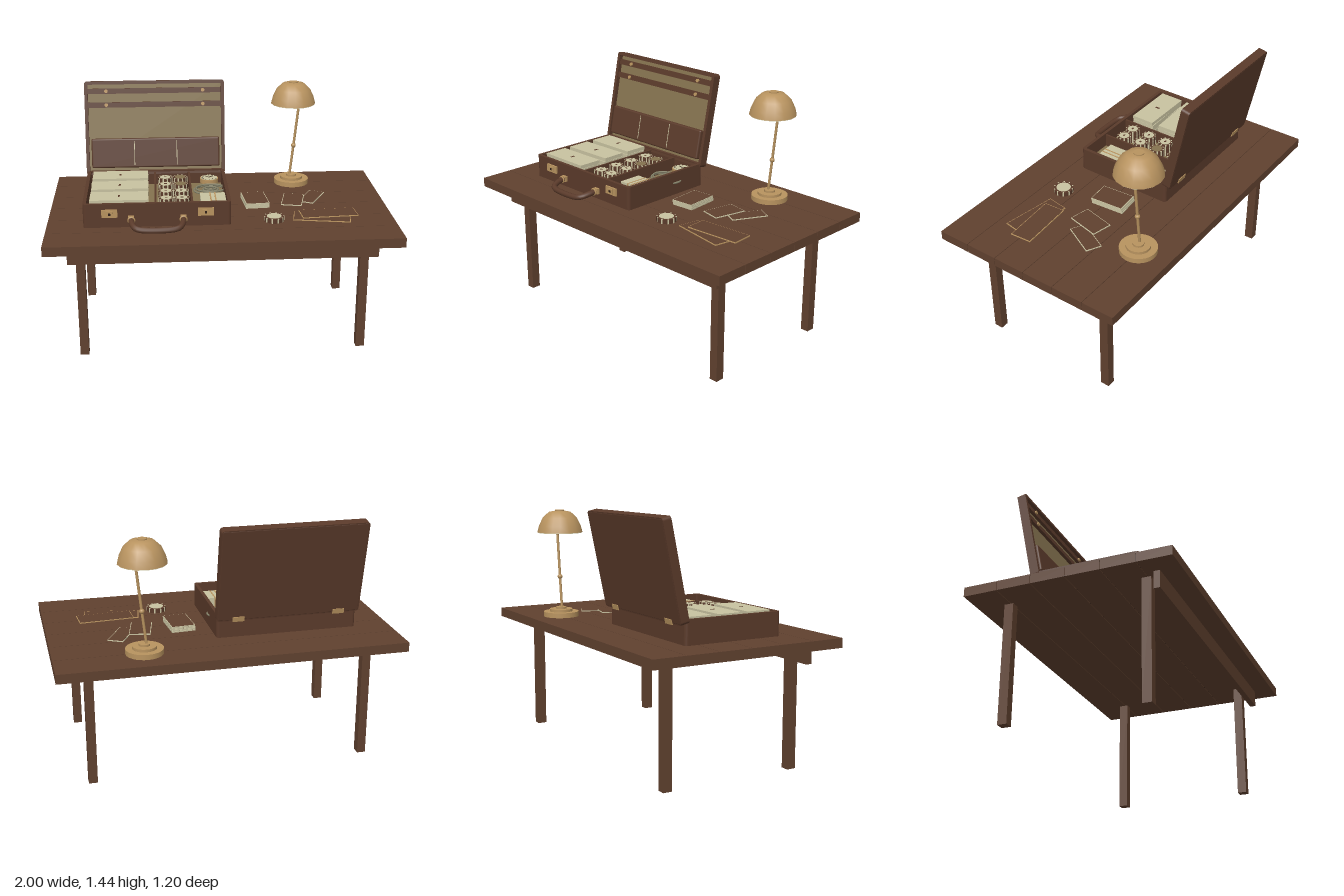
import * as THREE from 'three';
import { RoundedBoxGeometry } from 'three/addons/geometries/RoundedBoxGeometry.js';

const mat = (name, color, side = THREE.FrontSide) => {
  const m = new THREE.MeshStandardMaterial({ color, side });
  m.name = name;
  return m;
};

export function createModel() {
  const wood = mat('wood', 0x60412f);
  const leather = mat('leather', 0x5a3a2a);
  const dark = mat('dark trim', 0x2e1d14);
  const brass = mat('brass', 0xb8935f, THREE.DoubleSide);
  const cream = mat('cream paper', 0xc8c2a0, THREE.DoubleSide);
  const lining = mat('lining', 0x84724f);
  const steel = mat('tarnished metal', 0x87846b);

  const model = new THREE.Group();
  const group = (name, parent = model, x = 0, y = 0, z = 0) => {
    const g = new THREE.Group();
    g.name = name;
    g.position.set(x, y, z);
    parent.add(g);
    return g;
  };
  const add = (parent, name, geo, m, x = 0, y = 0, z = 0) => {
    const mesh = new THREE.Mesh(geo, m);
    mesh.name = name;
    mesh.position.set(x, y, z);
    parent.add(mesh);
    return mesh;
  };
  const box = (parent, name, m, w, h, d, x, y, z) =>
    add(parent, name, new THREE.BoxGeometry(w, h, d), m, x, y, z);
  const cyl = (parent, name, m, r, h, x, y, z, n = 24) =>
    add(parent, name, new THREE.CylinderGeometry(r, r, h, n), m, x, y, z);

  // Rectangle outline with rounded corners
  const roundRect = (P, w, h, r) => {
    const s = new P(), a = w / 2 - r, b = h / 2 - r;
    s.absarc(a, b, r, 0, Math.PI / 2);
    s.absarc(-a, b, r, Math.PI / 2, Math.PI);
    s.absarc(-a, -b, r, Math.PI, Math.PI * 1.5);
    s.absarc(a, -b, r, Math.PI * 1.5, Math.PI * 2);
    s.closePath();
    return s;
  };
  // Hollow frame, extruded along +z
  const frame = (w, h, depth, t) => {
    const s = roundRect(THREE.Shape, w, h, 0.018);
    s.holes.push(roundRect(THREE.Path, w - 2 * t, h - 2 * t, 0.006));
    return new THREE.ExtrudeGeometry(s, { depth, bevelEnabled: false, curveSegments: 4 });
  };

  // Table
  const table = group('table');
  for (let i = 0; i < 6; i++) {
    box(table, 'plank', wood, 2, 0.055, 0.197, 0, 0.7275, -0.5 + i * 0.2);
  }
  box(table, 'plankCore', dark, 1.99, 0.046, 1.19, 0, 0.7265, 0);
  for (const x of [-0.81, 0.81]) {
    for (const z of [0.393, -0.413]) box(table, 'leg', wood, 0.05, 0.705, 0.054, x, 0.3525, z);
  }
  box(table, 'frontApron', wood, 1.755, 0.1, 0.035, 0, 0.65, 0.467);

  // Case tray
  const tray = group('caseTray', model, -0.37, 0.757, 0.025);
  add(tray, 'trayWalls', frame(0.84, 0.61, 0.14, 0.02), leather).rotation.x = -Math.PI / 2;
  box(tray, 'trayBottom', leather, 0.81, 0.012, 0.58, 0, 0.006, 0);
  box(tray, 'trayLining', lining, 0.802, 0.04, 0.572, 0, 0.032, 0);
  for (const x of [-0.008, 0.2]) box(tray, 'divider', leather, 0.012, 0.12, 0.57, x, 0.07, 0);
  for (const x of [-0.27, 0.275]) {
    box(tray, 'latchPlate', brass, 0.09, 0.046, 0.012, x, 0.085, 0.309);
    box(tray, 'latchTongue', brass, 0.04, 0.03, 0.012, x, 0.085, 0.316);
    box(tray, 'latchSlot', dark, 0.012, 0.014, 0.004, x, 0.085, 0.3215);
  }

  // Carrying handle
  const handle = group('handle', tray);
  const grip = [[-0.148, 0.052, 0.325], [-0.143, 0.045, 0.37], [-0.125, 0.034, 0.412],
    [-0.09, 0.027, 0.427], [0.09, 0.027, 0.427], [0.125, 0.034, 0.412],
    [0.143, 0.045, 0.37], [0.148, 0.052, 0.325]].map(p => new THREE.Vector3(...p));
  add(handle, 'handleGrip',
    new THREE.TubeGeometry(new THREE.CatmullRomCurve3(grip), 32, 0.017, 10), leather);
  for (const s of [-1, 1]) {
    box(handle, 'handleMount', brass, 0.034, 0.034, 0.02, s * 0.148, 0.052, 0.312);
    add(handle, 'handleRing', new THREE.TorusGeometry(0.018, 0.005, 6, 16), brass, s * 0.147, 0.051, 0.335);
  }

  // Tilted lid: local y runs up the lid, local z points inward
  const lid = group('caseLid', model, -0.37, 0.865, -0.308);
  lid.rotation.x = -0.205;
  const L = 0.573;
  add(lid, 'lidWalls', frame(0.853, L, 0.052, 0.02), leather, 0, L / 2, 0);
  add(lid, 'lidBack', new RoundedBoxGeometry(0.845, L - 0.008, 0.02, 2, 0.006), leather, 0, L / 2, 0.009);
  box(lid, 'lidLining', lining, 0.815, L - 0.036, 0.008, 0, L / 2, 0.022);
  for (const y of [0.512, 0.428]) {
    box(lid, 'lidStrap', leather, 0.812, 0.032, 0.018, 0, y, 0.035);
    for (const x of [-0.295, 0.295]) {
      const stud = cyl(lid, 'strapStud', brass, 0.011, 0.01, x, y, 0.048, 12);
      stud.rotation.x = Math.PI / 2;
    }
  }
  add(lid, 'lidPocket', new RoundedBoxGeometry(0.785, 0.18, 0.034, 2, 0.01), leather, 0, 0.133, 0.043);
  for (const x of [-0.13, 0.13]) box(lid, 'pocketStitch', cream, 0.004, 0.15, 0.003, x, 0.133, 0.0605);
  for (const x of [-0.3, 0.3]) box(lid, 'hinge', brass, 0.07, 0.03, 0.006, x, 0.01, -0.002);

  // Paper bundles
  const bundles = group('paperBundles');
  [-0.17, 0.02, 0.212].forEach((z, i) => {
    for (let k = 0; k < 4; k++) {
      const sheet = box(bundles, 'paperBundle', cream, 0.332, 0.022, 0.148, -0.587, 0.822 + k * 0.0235, z);
      sheet.rotation.y = 0.022 * Math.sin(k * 2.1 + i * 1.7);
    }
    box(bundles, 'bundleSeal', leather, 0.012, 0.002, 0.028, -0.587, 0.9045 - 0.001, z);
  });

  // Gaming discs with notched rims
  const disc = (parent, x, y0, z, r, h, face) => {
    const g = group('disc', parent, x, y0, z);
    cyl(g, 'discBody', leather, r, h, 0, h / 2, 0);
    cyl(g, 'discFace', face, r * 0.74, 0.002, 0, h + 0.001, 0);
    for (let k = 0; k < 10; k++) {
      const a = k * Math.PI / 5;
      const notch = box(g, 'discNotch', cream, 0.007, h + 0.001, 0.009,
        Math.cos(a) * (r - 0.003), h / 2 + 0.0005, Math.sin(a) * (r - 0.003));
      notch.rotation.y = -a;
    }
    return g;
  };
  const discs = group('discStacks');
  [-0.155, -0.03, 0.092, 0.214].forEach((z, row) => {
    [-0.317, -0.226].forEach((x, col) => {
      const pale = col === 1 && row < 2;
      for (let k = 0; k < 3; k++) disc(discs, x, 0.809 + k * 0.027, z, 0.043, 0.024, pale ? lining : cream);
      cyl(discs, 'stackCore', dark, 0.037, 0.075, x, 0.847, z);
      if (!pale) box(discs, 'faceMark', leather, 0.016, 0.002, 0.01, x, 0.8888, z);
    });
  });

  // Pocket watch
  const watch = group('watch', model, -0.047, 0.85, -0.2);
  cyl(watch, 'watchCase', brass, 0.056, 0.026, 0, 0, 0);
  cyl(watch, 'watchFace', cream, 0.05, 0.004, 0, 0.0135, 0);
  for (let k = 0; k < 12; k++) {
    const a = k * Math.PI / 6;
    box(watch, 'hourMark', dark, 0.008, 0.002, 0.003, Math.cos(a) * 0.042, 0.016, Math.sin(a) * 0.042).rotation.y = -a;
  }
  [[0.034, 0.7], [0.024, 2.7]].forEach(([len, a]) => {
    box(watch, 'watchHand', dark, len, 0.002, 0.004,
      Math.cos(a) * len / 2, 0.0165, -Math.sin(a) * len / 2).rotation.y = a;
  });

  // Coiled chain
  const chain = group('coiledChain', model, -0.045, 0.83, -0.066);
  [[0.1, 0.0], [0.088, 0.012], [0.046, 0.004], [0.034, 0.012]].forEach(([r, y]) => {
    const ring = add(chain, 'chainLoop', new THREE.TorusGeometry(r, 0.006, 6, 40), steel, 0, y, 0);
    ring.rotation.x = Math.PI / 2;
    ring.scale.y = 0.78;
  });

  // Wrapped packet
  const packet = group('packet', model, -0.045, 0.835, 0.165);
  box(packet, 'packetBody', cream, 0.146, 0.07, 0.142, 0, 0, 0);
  for (const x of [-0.014, 0.014]) box(packet, 'packetBand', brass, 0.008, 0.073, 0.145, x, 0, 0);

  // Cards and folded papers on the table: pale edges with a brown face
  const loose = group('looseItems');
  const card = (name, w, h, d, x, y0, z, turn, edge) => {
    const g = group(name, loose, x, y0 + h / 2, z);
    g.rotation.y = turn;
    box(g, 'cardEdge', edge, w, h, d, 0, 0, 0);
    box(g, 'cardFace', wood, w - 0.008, 0.001, d - 0.008, 0, h / 2 + 0.0006, 0);
  };
  for (let k = 0; k < 4; k++) card('cardDeck', 0.141, 0.0075, 0.205, 0.22, 0.756 + k * 0.0085, -0.03 + 0.002 * k, 0.08, cream);
  card('looseCard', 0.095, 0.005, 0.215, 0.575, 0.756, -0.1, -0.48, cream);
  card('looseCard', 0.125, 0.005, 0.2, 0.452, 0.762, -0.04, -0.22, cream);
  card('foldedPaper', 0.33, 0.005, 0.13, 0.585, 0.756, 0.25, -0.17, brass);
  card('foldedPaper', 0.33, 0.005, 0.13, 0.63, 0.762, 0.2, 0.07, brass);
  disc(loose, 0.302, 0.756, 0.275, 0.058, 0.026, cream);

  // Lamp
  const lamp = group('lamp', model, 0.49, 0, -0.4);
  const lathe = (name, pts, m, n) =>
    add(lamp, name, new THREE.LatheGeometry(pts.map(p => new THREE.Vector2(...p)), n), m);
  cyl(lamp, 'lampFoot', brass, 0.108, 0.03, 0, 0.77, 0, 32);
  cyl(lamp, 'lampStep', brass, 0.07, 0.016, 0, 0.793, 0, 32);
  cyl(lamp, 'lampCollar', brass, 0.032, 0.012, 0, 0.807, 0, 20);
  const rod = (a, b) => {
    const path = new THREE.LineCurve3(new THREE.Vector3(...a), new THREE.Vector3(...b));
    add(lamp, 'lampArm', new THREE.TubeGeometry(path, 1, 0.008, 10), brass);
  };
  rod([-0.012, 0.8, 0], [0.01, 1.0, 0]);
  rod([0.01, 1.0, 0], [0.038, 1.265, 0]);
  rod([0.038, 1.265, 0], [0, 1.3, 0]);
  add(lamp, 'lampJoint', new THREE.SphereGeometry(0.015, 16, 10), brass, 0.01, 1.0, 0);
  add(lamp, 'lampElbow', new THREE.SphereGeometry(0.011, 12, 8), brass, 0.038, 1.265, 0);
  add(lamp, 'bulb', new THREE.SphereGeometry(0.03, 16, 12), brass, 0, 1.308, 0);
  const shade = [[0.138, 1.276], [0.128, 1.315], [0.104, 1.365], [0.066, 1.4], [0.03, 1.406], [0.0001, 1.406]];
  lathe('shade', shade, brass, 16);
  lathe('shadeInside', shade.map(([r, y]) => [Math.max(r - 0.004, 0.0001), y - 0.004]), cream, 16);
  cyl(lamp, 'shadeCap', brass, 0.028, 0.008, 0, 1.408, 0, 16);

  return model;
}
